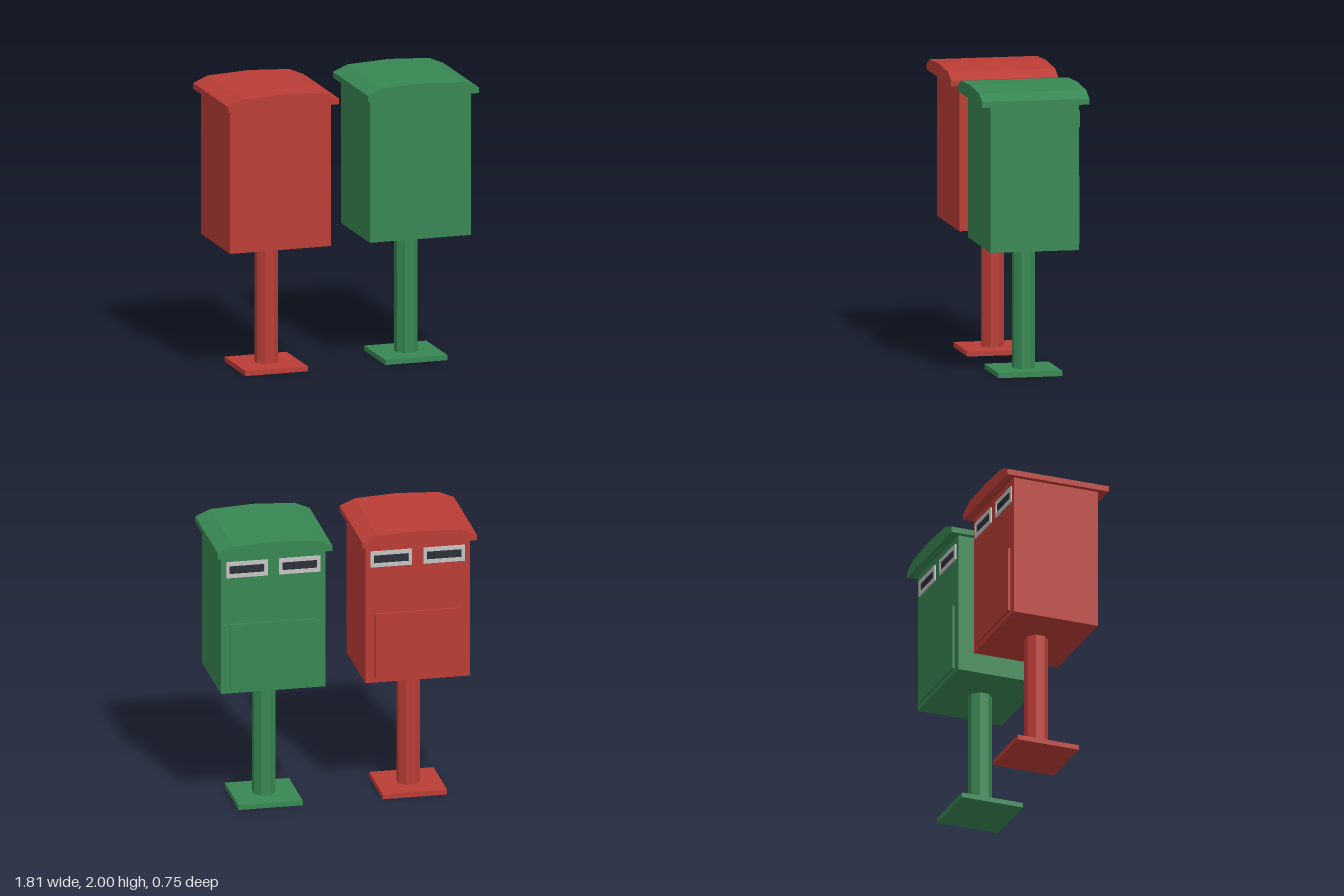
import * as THREE from 'three';

const mat = (name, color) => {
  const m = new THREE.MeshStandardMaterial({ color });
  m.name = name;
  return m;
};

// Extrude a 2D shape along z, centred on zMid
function slab(shape, depth, zMid) {
  const g = new THREE.ExtrudeGeometry(shape, { depth, bevelEnabled: false });
  return g.translate(0, 0, zMid - depth / 2);
}

function rectPoints(w, h) {
  return [[-w / 2, -h / 2], [w / 2, -h / 2], [w / 2, h / 2], [-w / 2, h / 2]]
    .map(([x, y]) => new THREE.Vector2(x, y));
}

function createPostbox(name, paint, steel, dark) {
  const box = new THREE.Group();
  box.name = name;
  const add = (partName, geometry, material, x, y, z) => {
    const mesh = new THREE.Mesh(geometry, material);
    mesh.name = partName;
    mesh.position.set(x, y, z);
    box.add(mesh);
  };

  // Ground plate and octagonal post with flats facing the axes
  add('basePlate', new THREE.BoxGeometry(0.45, 0.035, 0.45), paint, 0, 0.0175, 0);
  const post = new THREE.CylinderGeometry(0.081, 0.081, 0.86, 8).rotateY(Math.PI / 8).toNonIndexed();
  post.computeVertexNormals();
  add('post', post, paint, 0, 0.465, 0);

  // Mail compartment
  add('body', new THREE.BoxGeometry(0.73, 1.01, 0.62), paint, 0, 1.395, 0);

  // Faceted, gently arched roof
  const profile = [[-0.4, 1.9], [0.4, 1.9], [0.4, 1.94], [0.295, 1.985], [0, 2], [-0.295, 1.985], [-0.4, 1.94]];
  const roofShape = new THREE.Shape(profile.map(([x, y]) => new THREE.Vector2(x, y)));
  add('roof', slab(roofShape, 0.75, 0), paint, 0, 0, 0);

  // Collection door on the rear face
  add('door', new THREE.BoxGeometry(0.6, 0.47, 0.03), paint, 0, 1.16, -0.313);

  // Two framed letter slots
  for (const side of [-1, 1]) {
    const frame = new THREE.Shape(rectPoints(0.29, 0.115));
    frame.holes.push(new THREE.Path(rectPoints(0.242, 0.058).reverse()));
    add('slotFrame', slab(frame, 0.014, 0), steel, side * 0.185, 1.7925, -0.313);
    add('slotOpening', new THREE.BoxGeometry(0.25, 0.066, 0.006), dark, side * 0.185, 1.7925, -0.311);
  }
  return box;
}

export function createModel() {
  const steel = mat('steel', 0xc4c4c4);
  const dark = mat('slotDark', 0x2c3038);
  const model = new THREE.Group();
  model.name = 'postboxPair';

  const red = createPostbox('redPostbox', mat('redPaint', 0xbb3d36), steel, dark);
  red.position.x = -0.505;
  const green = createPostbox('greenPostbox', mat('greenPaint', 0x388753), steel, dark);
  green.position.x = 0.505;
  model.add(red, green);
  return model;
}
